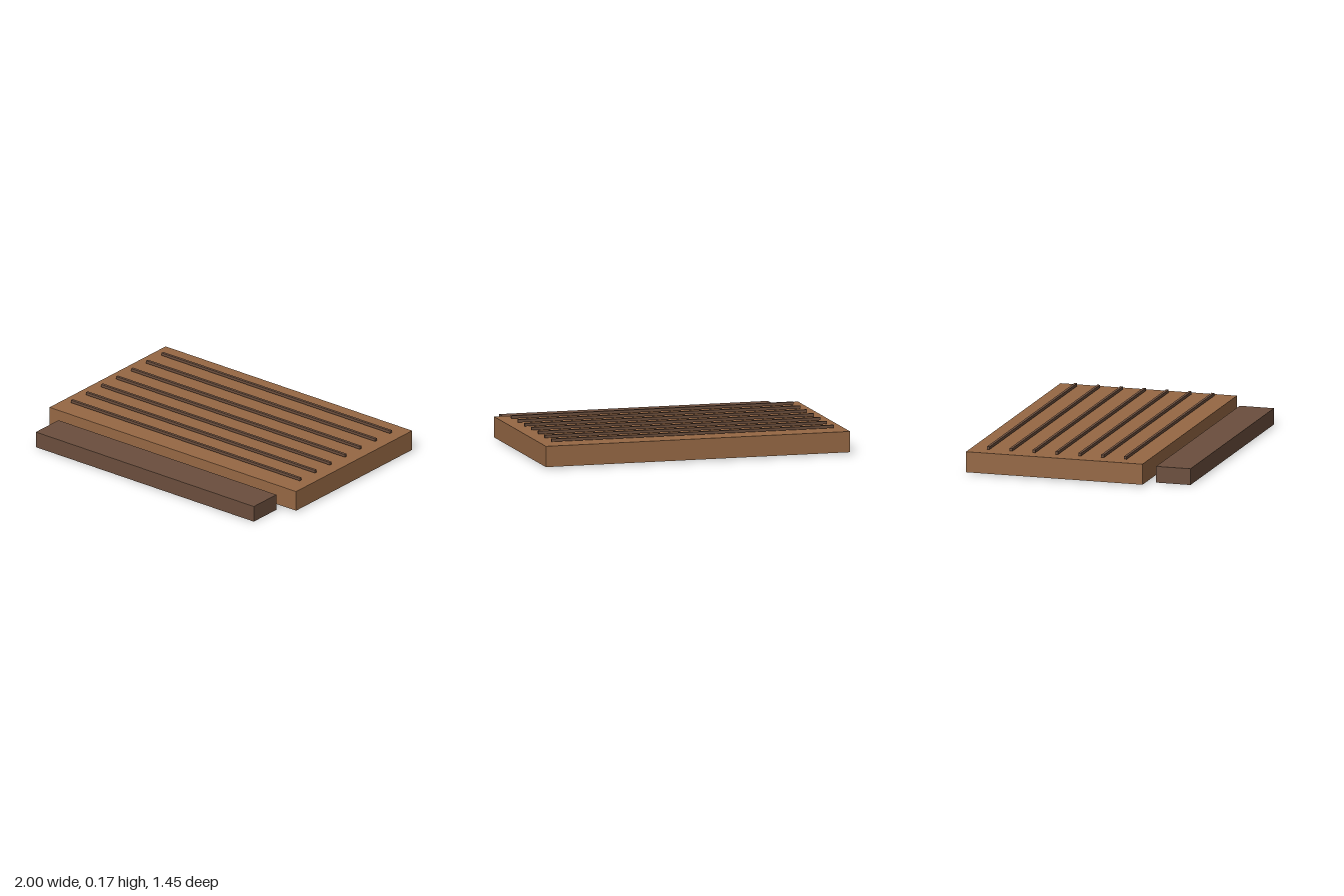
import * as THREE from 'three';

export function createModel() {
  const model = new THREE.Group();
  const lightWood = new THREE.MeshStandardMaterial({ color: 0x966844 });
  const darkWood = new THREE.MeshStandardMaterial({ color: 0x6b4e3d });

  // Box centred on x, given its width and its y and z ranges
  const addBox = (name, width, [y0, y1], [z0, z1], material) => {
    const mesh = new THREE.Mesh(new THREE.BoxGeometry(width, y1 - y0, z1 - z0), material);
    mesh.position.set(0, (y0 + y1) / 2, (z0 + z1) / 2);
    mesh.name = name;
    model.add(mesh);
  };

  // Main platform and the lower step in front of it
  addBox('deck', 2, [0.008, 0.141], [-0.724, 0.443], lightWood);
  addBox('frontStep', 1.768, [0, 0.105], [0.497, 0.724], darkWood);

  // Thin strips running across the deck, just above its surface
  for (let i = 0; i < 7; i++) {
    const z = -0.6 + i * 0.1512;
    addBox(`deckStrip${i + 1}`, 1.856, [0.148, 0.166], [z - 0.009, z + 0.009], darkWood);
  }

  return model;
}
